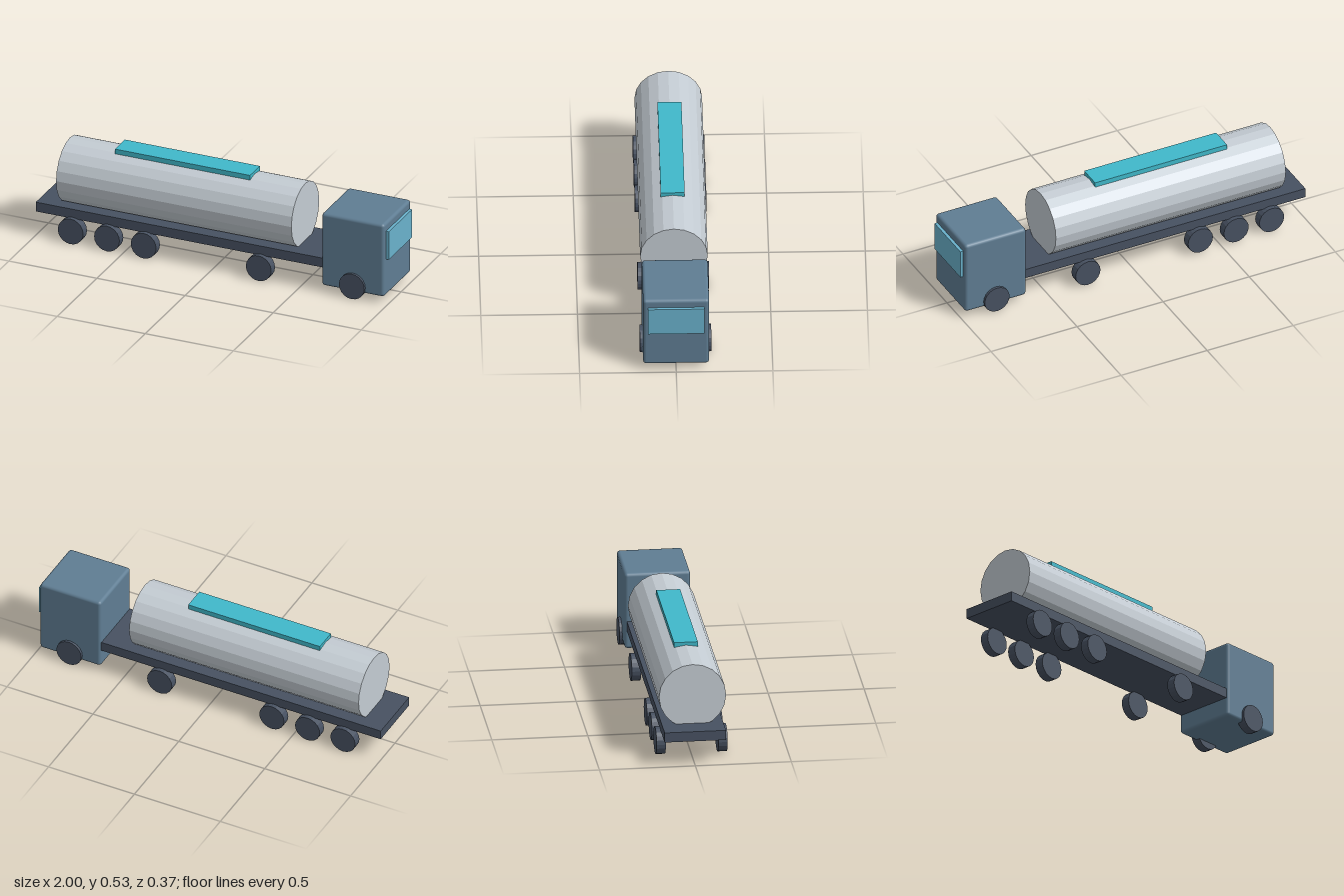
import * as THREE from 'three';
import { RoundedBoxGeometry } from 'three/addons/geometries/RoundedBoxGeometry.js';

const material = (name, color) => {
  const m = new THREE.MeshStandardMaterial({ color });
  m.name = name;
  return m;
};

// Faceted drum, lying along the chosen axis
function drum(radius, length, axis) {
  const g = new THREE.CylinderGeometry(radius, radius, length, 20);
  if (axis === 'x') g.rotateZ(Math.PI / 2);
  else g.rotateX(Math.PI / 2);
  const flat = g.toNonIndexed();
  flat.computeVertexNormals();
  return flat;
}

export function createModel() {
  const truck = new THREE.Group();
  truck.name = 'tankerTruck';

  const darkGrey = material('dark grey', 0x475161);
  const cabBlue = material('cab blue', 0x5f7d93);
  const tankSilver = material('tank silver', 0xc4ccd3);
  const teal = material('teal', 0x40b8ca);
  const glass = material('window blue', 0x6ab2cc);

  const add = (name, geometry, mat, x, y, z) => {
    const mesh = new THREE.Mesh(geometry, mat);
    mesh.name = name;
    mesh.position.set(x, y, z);
    truck.add(mesh);
    return mesh;
  };

  // Flat bed from the tail to the cab
  add('bed', new THREE.BoxGeometry(1.64, 0.053, 0.32), darkGrey, -0.18, 0.163, 0);

  // Cab with softened edges, windscreen on its +x face
  add('cab', new RoundedBoxGeometry(0.355, 0.415, 0.342, 2, 0.017), cabBlue, 0.803, 0.245, 0);
  add('windscreen', new THREE.BoxGeometry(0.02, 0.16, 0.293), glass, 0.987, 0.328, 0);

  // Tank, sunk slightly into the bed, with a walkway along its top
  add('tank', drum(0.175, 1.335, 'x'), tankSilver, -0.211, 0.34, 0);
  add('walkway', new THREE.BoxGeometry(0.766, 0.027, 0.124), teal, -0.212, 0.5175, 0);

  // Five axles, a wheel on each side
  const wheel = drum(0.072, 0.048, 'z');
  for (const x of [-0.792, -0.586, -0.378, 0.275, 0.803]) {
    for (const side of [-1, 1]) add('wheel', wheel, darkGrey, x, 0.072, side * 0.161);
  }

  return truck;
}
